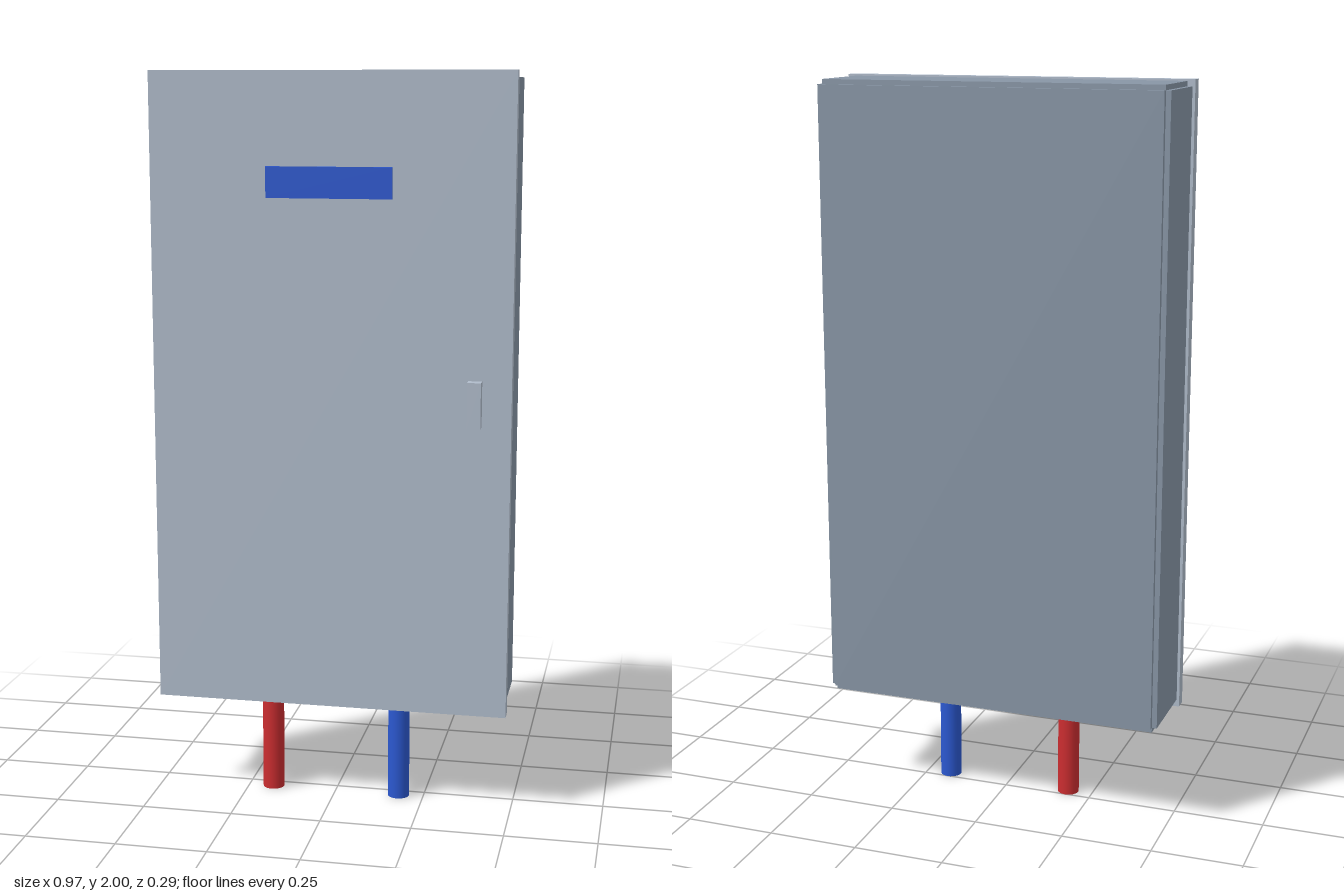
import * as THREE from 'three';

const material = (name, color) => {
  const m = new THREE.MeshStandardMaterial({ color });
  m.name = name;
  return m;
};

export function createModel() {
  const group = new THREE.Group();
  const bodyGrey = material('body grey', 0x8896a6);
  const doorGrey = material('door grey', 0xb0bccb);
  const blue = material('blue', 0x2b58d0);
  const red = material('red', 0xcb2d30);

  // Box given by its lower and upper limits on each axis
  const box = (name, mat, [x0, x1], [y0, y1], [z0, z1]) => {
    const mesh = new THREE.Mesh(new THREE.BoxGeometry(x1 - x0, y1 - y0, z1 - z0), mat);
    mesh.position.set((x0 + x1) / 2, (y0 + y1) / 2, (z0 + z1) / 2);
    mesh.name = name;
    group.add(mesh);
  };

  // Cabinet shell: sheets standing proud of a core, leaving notched edges
  const X = 0.465, Y0 = 0.3, Y1 = 1.982, BACK = -0.134, FRONT = 0.08, T = 0.0135;
  box('backPanel', bodyGrey, [-X, X], [Y0, Y1], [BACK - T, BACK + T]);
  box('leftPanel', bodyGrey, [X - T, X + T], [Y0, Y1], [BACK, FRONT]);
  box('rightPanel', bodyGrey, [-X - T, -X + T], [Y0, Y1], [BACK, FRONT]);
  box('topPanel', bodyGrey, [-X, X], [Y1 - T, Y1 + T], [BACK, FRONT]);
  box('bottomPanel', bodyGrey, [-X, X], [Y0 - T, Y0 + T], [BACK, FRONT]);

  // Door with handle and label plate
  box('door', doorGrey, [-0.486, 0.486], [0.28, 2], [FRONT, 0.114]);
  box('handle', doorGrey, [0.371, 0.408], [1.08, 1.202], [0.114, 0.144]);
  box('labelPlate', blue, [-0.169, 0.167], [1.672, 1.754], [0.114, 0.1235]);

  // Supply and return pipes
  const pipeGeometry = new THREE.CylinderGeometry(0.03, 0.03, 0.31, 24);
  for (const [name, mat, x] of [['redPipe', red, -0.18], ['bluePipe', blue, 0.18]]) {
    const pipe = new THREE.Mesh(pipeGeometry, mat);
    pipe.position.set(x, 0.155, 0.028);
    pipe.name = name;
    group.add(pipe);
  }
  return group;
}
